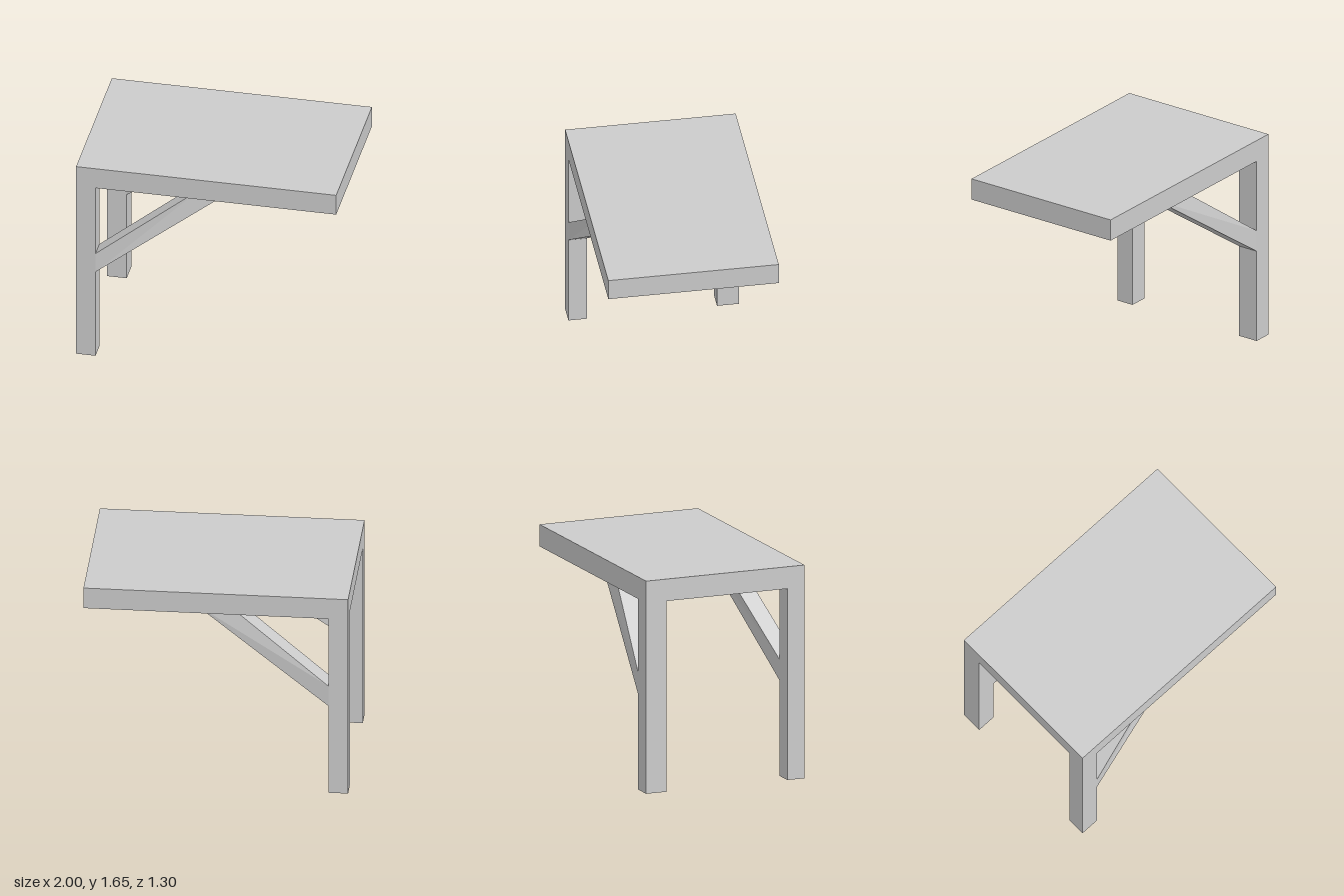
import * as THREE from 'three';

const TOP = 1.65, UNDER = 1.48, LEG_X = -0.85;

export function createModel() {
  const group = new THREE.Group();
  const material = new THREE.MeshStandardMaterial({ color: 0xcccccc, flatShading: true });

  const add = (name, geometry) => {
    const mesh = new THREE.Mesh(geometry, material);
    mesh.name = name;
    group.add(mesh);
  };

  // Box given by its lower and upper corners
  const block = (name, [x0, y0, z0], [x1, y1, z1]) => add(name,
    new THREE.BoxGeometry(x1 - x0, y1 - y0, z1 - z0)
      .translate((x0 + x1) / 2, (y0 + y1) / 2, (z0 + z1) / 2));

  // Slanted beam: a box whose ends are cut flat against the leg and the slab.
  // Each edge is [y at leg, x at slab, back z at slab, front z at slab].
  const brace = (name, zBack, zFront, lower, upper) => {
    const geometry = new THREE.BoxGeometry(1, 1, 1);
    const p = geometry.attributes.position;
    for (let i = 0; i < p.count; i++) {
      const [legY, slabX, slabBack, slabFront] = p.getY(i) < 0 ? lower : upper;
      const front = p.getZ(i) > 0;
      if (p.getX(i) < 0) p.setXYZ(i, LEG_X, legY, front ? zFront : zBack);
      else p.setXYZ(i, slabX, UNDER, front ? slabFront : slabBack);
    }
    geometry.computeVertexNormals();
    add(name, geometry);
  };

  // Table top
  block('tableTop', [-1, UNDER, -0.65], [1, TOP, 0.65]);

  // Two legs at one end, the back one a little thicker
  block('frontLeg', [-1, 0, 0.51], [LEG_X, UNDER, 0.65]);
  block('backLeg', [-1, 0.005, -0.65], [LEG_X, UNDER, -0.483]);

  // Diagonal braces leaning inwards from the legs to the underside
  brace('frontBrace', 0.51, 0.65,
    [0.74, 0.15, 0.365, 0.504], [0.902, -0.08, 0.375, 0.516]);
  brace('backBrace', -0.65, -0.483,
    [0.742, 0.19, -0.483, -0.317], [0.91, -0.08, -0.5, -0.333]);

  return group;
}
